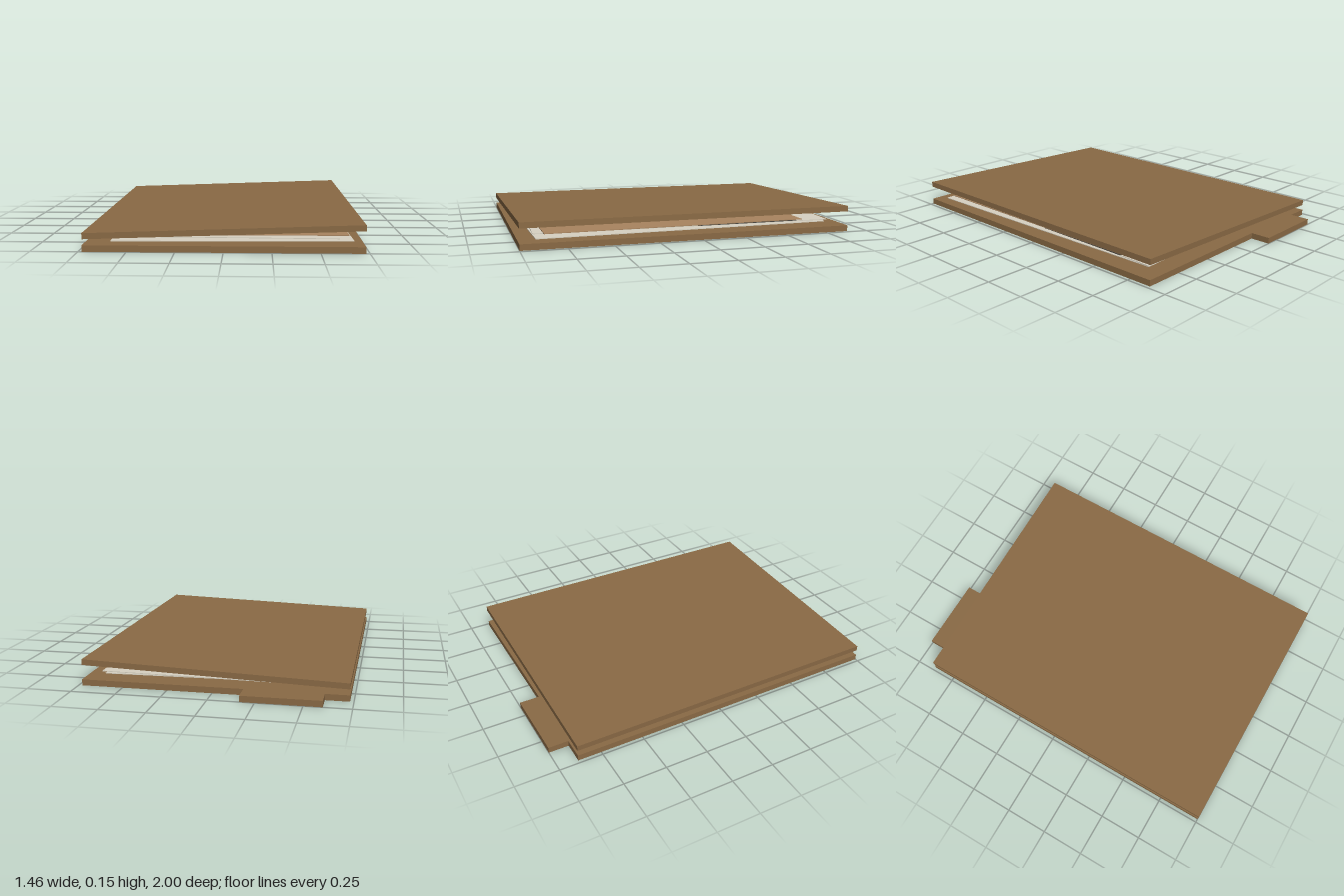
import * as THREE from 'three';

const material = (name, color) => {
  const m = new THREE.MeshStandardMaterial({ color });
  m.name = name;
  return m;
};

export function createModel() {
  const folder = new THREE.Group();
  folder.name = 'folder';
  const board = material('brown board', 0x8a6a45);
  const paper = material('off-white paper', 0xd8d2c2);
  const card = material('tan card', 0xa98560);
  const clipDark = material('dark grey', 0x4a4640);

  const slab = (name, mat, size, position, turn = 0) => {
    const mesh = new THREE.Mesh(new THREE.BoxGeometry(...size), mat);
    mesh.name = name;
    mesh.position.set(...position);
    mesh.rotation.y = turn;
    folder.add(mesh);
    return mesh;
  };

  // back board with its index tab
  const outline = new THREE.Shape([
    [-0.73, -1], [0.73, -1], [0.73, 0.885], [-0.17, 0.885],
    [-0.17, 1], [-0.6, 1], [-0.6, 0.885], [-0.73, 0.885],
  ].map(([x, y]) => new THREE.Vector2(x, y)));
  const base = new THREE.Mesh(
    new THREE.ExtrudeGeometry(outline, { depth: 0.034, bevelEnabled: false }), board);
  base.name = 'backBoardWithTab';
  base.rotation.x = -Math.PI / 2;
  folder.add(base);

  // front cover, slightly open on the left side
  const cover = slab('frontCover', board, [1.458, 0.032, 1.885], [0, 0.107, 0.0575]);
  cover.rotation.z = 0.0345;

  // loose sheets, each turned a little
  slab('lowerSheet', paper, [1.27, 0.004, 1.7], [0.02, 0.047, 0.08], 0.03);
  slab('upperSheet', paper, [1.29, 0.004, 1.71], [-0.02, 0.06, 0.045], -0.025);

  // card resting on the sheets
  slab('card', card, [1.18, 0.004, 1.5], [0.06, 0.068, 0.12], 0.012);
  slab('cardSpacer', clipDark, [0.06, 0.004, 0.6], [0.615, 0.064, -0.3]);

  return folder;
}
